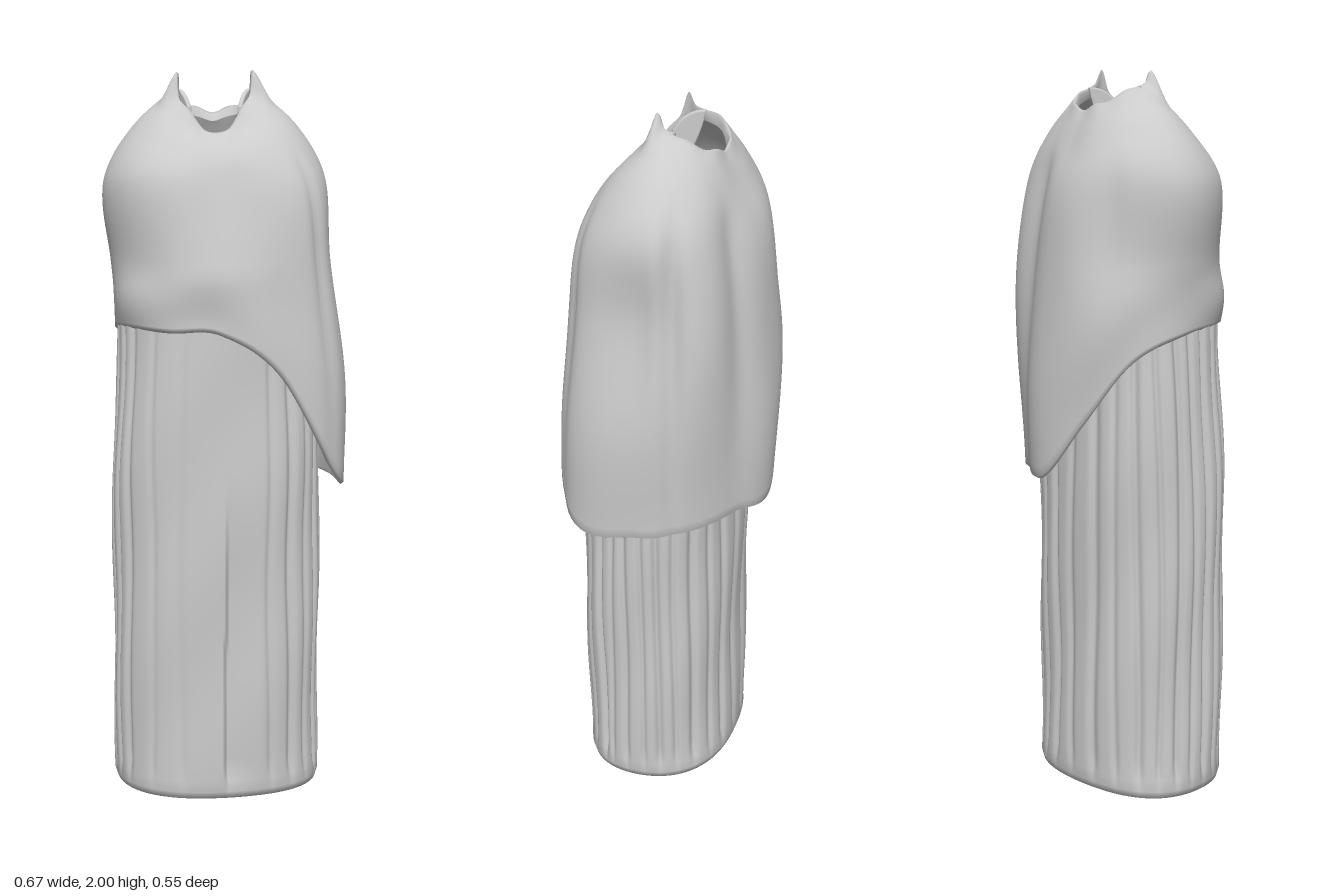
import * as THREE from 'three';

const TAU = Math.PI * 2;
const cloth = new THREE.MeshStandardMaterial({ color: 0xcccccc, side: THREE.DoubleSide });
const bump = (x, c, w) => Math.exp(-(((x - c) / w) ** 2));
const smooth = THREE.MathUtils.smoothstep;
// signed difference between two angles in degrees
const arc = (a, b) => ((a - b + 540) % 360) - 180;

// Closed surface from rings of points; rings run from top to bottom
function loft(name, rows, cols, point) {
  const pos = [], index = [];
  for (let i = 0; i <= rows; i++)
    for (let j = 0; j < cols; j++) pos.push(...point(i, (j / cols) * TAU));
  for (let i = 0; i < rows; i++)
    for (let j = 0; j < cols; j++) {
      const k = (j + 1) % cols;
      const a = i * cols + j, b = i * cols + k, c = a + cols, d = b + cols;
      index.push(a, b, c, b, d, c);
    }
  const g = new THREE.BufferGeometry();
  g.setAttribute('position', new THREE.Float32BufferAttribute(pos, 3));
  g.setIndex(index);
  g.computeVertexNormals();
  const mesh = new THREE.Mesh(g, cloth);
  mesh.name = name;
  return mesh;
}

// Cape guides every 30 degrees from +x towards +z:
// neck radius, neck height, radii at shoulder, chest and waist, hem radius, hem height
const guides = [
  [0.105, 1.965, 0.225, 0.298, 0.3, 0.332, 0.89],
  [0.105, 1.94, 0.22, 0.3, 0.335, 0.385, 0.91],
  [0.105, 1.88, 0.19, 0.248, 0.295, 0.312, 1.21],
  [0.122, 1.835, 0.172, 0.212, 0.263, 0.272, 1.315],
  [0.108, 1.87, 0.185, 0.243, 0.28, 0.282, 1.32],
  [0.115, 1.93, 0.21, 0.29, 0.288, 0.285, 1.325],
  [0.105, 1.965, 0.225, 0.305, 0.285, 0.278, 1.31],
  [0.125, 1.945, 0.205, 0.27, 0.272, 0.275, 1.25],
  [0.125, 1.915, 0.178, 0.232, 0.262, 0.268, 1.08],
  [0.118, 1.9, 0.155, 0.203, 0.247, 0.265, 0.92],
  [0.122, 1.915, 0.165, 0.21, 0.243, 0.256, 0.915],
  [0.115, 1.94, 0.2, 0.265, 0.297, 0.283, 0.9],
].map(([nr, ny, r1, r2, r3, hr, hy]) => new THREE.CatmullRomCurve3([
  [nr, ny], [r1, (ny + 1.72) / 2 + 0.015], [r2, 1.72], [r3, 1.5],
  [(r3 + hr) / 2 + 0.027 * (1.5 - hy), (1.5 + hy) / 2], [hr, hy],
].map(([r, y]) => new THREE.Vector3(r, y, 0))));

// Smooth blend between the guides around the body
function capeProfile(u, angle) {
  const f = (angle / TAU) * 12, k = Math.floor(f), t = f - k;
  const p = [-1, 0, 1, 2].map(o => guides[(k + o + 12) % 12].getPoint(u));
  const cubic = (a, b, c, d) =>
    b + 0.5 * t * (c - a + t * (2 * a - 5 * b + 4 * c - d + t * (3 * (b - c) + d - a)));
  return [cubic(...p.map(q => q.x)), cubic(...p.map(q => q.y))];
}

function capePoint(u, angle, inset = 0, lift = 0) {
  let [r, y] = capeProfile(u, angle);
  const deg = (angle * 180) / Math.PI;
  const hang = smooth(u, 0.2, 0.5);
  // folds over the arm and down the back, opening out at the hem
  const fold = hang * (1 - 0.7 * smooth(u, 0.6, 1));
  r -= fold * (0.016 * bump(arc(deg, 342), 0, 5) + 0.01 * bump(arc(deg, 36), 0, 3)
    + 0.014 * bump(arc(deg, 300), 0, 11) + 0.005 * bump(arc(deg, 222), 0, 7));
  r += fold * 0.006 * bump(arc(deg, 350), 0, 5);
  // soft diagonal creases
  r += hang * (0.003 * Math.sin(angle * 5 + u * 9) + 0.003 * Math.sin(angle * 3 - u * 14));
  // pointed collar corners and uneven neck edge
  const top = 1 - smooth(u, 0, 0.1);
  y += top * (0.045 * bump(arc(deg, 14), 0, 7) + 0.045 * bump(arc(deg, 165), 0, 7)
    + 0.004 * Math.sin(angle * 9));
  r -= inset;
  return [-0.025 + r * Math.cos(angle), y + lift, r * Math.sin(angle)];
}

// Cape with edges turned under at the neck and hem
function cape() {
  const n = 56;
  return loft('cape', n + 5, 160, (i, a) => {
    if (i === 0) return capePoint(0.05, a, 0.025, -0.008);
    if (i === 1) return capePoint(0, a, 0.006, -0.006);
    if (i <= n + 2) return capePoint((i - 2) / n, a);
    if (i === n + 3) return capePoint(1, a, 0.01, -0.006);
    if (i === n + 4) return capePoint(1, a, 0.018, 0.004);
    return capePoint(0.94, a, 0.016);
  });
}

// Pleats: angle in degrees, width, depth
const pleats = [
  [3, 2.5, 0.01], [14, 2, 0.007], [24, 2.5, 0.014], [37, 2, 0.007], [49, 2.5, 0.012],
  [62, 2, 0.007], [112, 3, 0.004], [128, 2, 0.004], [146, 2.5, 0.01], [158, 2, 0.009],
  [171, 2.5, 0.013], [184, 2, 0.009], [196, 2.5, 0.013], [210, 2, 0.009], [224, 2.5, 0.012],
  [238, 2, 0.007], [252, 3, 0.011], [270, 2.5, 0.008], [286, 2.5, 0.011], [299, 2, 0.008],
  [312, 2.5, 0.013], [325, 2, 0.009], [337, 2.5, 0.013], [349, 2, 0.009],
];

// Pleated tubular robe, open at both ends, with a turned hem
function robe() {
  const n = 44, height = 1.42;
  return loft('robe', n + 3, 360, (i, a) => {
    const y = i <= n ? height - (height - 0.03) * (i / n) : [0.01, 0.012, 0.05][i - n - 1];
    const deg = (a * 180) / Math.PI;
    let d = 0;
    for (const [c, w, depth] of pleats)
      d -= depth * bump(arc(deg, c + 1.2 * Math.sin(y * 4 + c)), 0, w);
    // overlapping front edge
    const seam = arc(deg, 87 + 0.8 * Math.sin(y * 7));
    if (seam > -20 && seam < 0) d -= 0.016 * (1 + seam / 20) * (1 - smooth(y, 0.6, 0.95));
    d = d * smooth(y, 0.035, 0.09) + 0.003 * Math.sin(y * 11 + a * 4);
    const inset = i <= n ? 0 : [0.006, 0.014, 0.014][i - n - 1];
    const taper = 0.025 * smooth(y, 0.85, 1.4);
    const rx = 0.292 - taper + d - inset, rz = 0.216 - taper * 0.4 + d - inset;
    // slightly squared oval section
    const c = Math.cos(a), s = Math.sin(a), q = 1 + 0.05 * Math.sin(2 * a) ** 2;
    return [-0.026 + rx * c * q, y, 0.042 + 0.004 * Math.sin(y * 3) + rz * s * q];
  });
}

// Small folded flap hanging inside the collar, leaning inwards at the front
function collarFlap(side) {
  const shape = new THREE.Shape();
  shape.moveTo(-0.02, 0.01).quadraticCurveTo(0.03, 0.01, 0.06, -0.04)
    .quadraticCurveTo(0.065, -0.09, 0.045, -0.13).quadraticCurveTo(0, -0.08, -0.02, 0.01);
  const g = new THREE.ExtrudeGeometry(shape, {
    depth: 0.005, bevelSize: 0.004, bevelThickness: 0.004, bevelSegments: 2, curveSegments: 8,
  });
  const m = new THREE.Mesh(g, cloth);
  m.name = side > 0 ? 'leftCollarFlap' : 'rightCollarFlap';
  m.position.set(-0.027 + side * 0.095, 1.945, 0.0);
  m.rotation.y = -Math.PI / 2 - side * 0.45;
  return m;
}

export function createModel() {
  const model = new THREE.Group();
  model.name = 'cloakedRobe';
  model.add(robe(), cape(), collarFlap(1), collarFlap(-1));
  return model;
}
